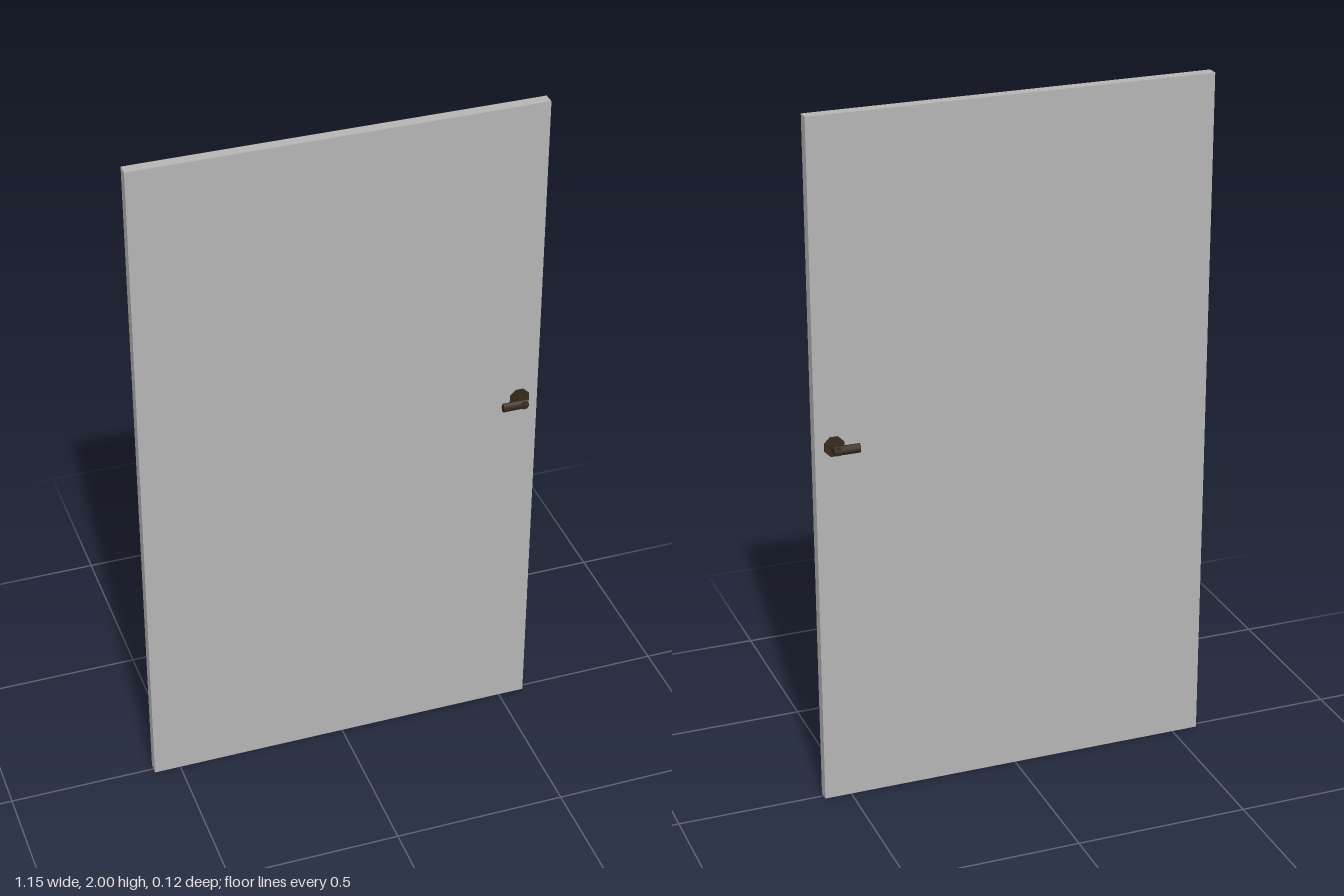
import * as THREE from 'three';

export function createModel() {
  const group = new THREE.Group();
  const panelGrey = new THREE.MeshStandardMaterial({ color: 0xb5b5b5 });
  panelGrey.name = 'panelGrey';
  const darkBronze = new THREE.MeshStandardMaterial({ color: 0x36291d });
  darkBronze.name = 'darkBronze';

  // Door slab
  const panel = new THREE.Mesh(new THREE.BoxGeometry(1.154, 2, 0.033), panelGrey);
  panel.name = 'doorPanel';
  panel.position.y = 1;
  group.add(panel);

  // Eight-sided bar along z with a flat side up
  const bar = (radius, length) => {
    const g = new THREE.CylinderGeometry(radius, radius, length, 8);
    g.rotateY(Math.PI / 8);
    return g.rotateX(Math.PI / 2);
  };

  // Lever handle on each face: round plate, stem and lever towards the hinge side
  for (const side of [1, -1]) {
    const handle = new THREE.Group();
    handle.name = side > 0 ? 'frontHandle' : 'backHandle';
    handle.position.set(0.523, 1.078, 0);

    const plate = new THREE.Mesh(bar(0.03, 0.007), darkBronze);
    plate.name = 'handlePlate';
    plate.position.z = side * 0.0185;

    const stem = new THREE.Mesh(bar(0.0125, 0.045), darkBronze);
    stem.name = 'handleStem';
    stem.position.z = side * 0.0375;

    // Lever is a flattened bar turned sideways
    const leverShape = bar(0.0135, 0.074).rotateY(Math.PI / 2).scale(1, 1, 0.7);
    const lever = new THREE.Mesh(leverShape, darkBronze);
    lever.name = 'handleLever';
    lever.position.set(-0.0255, 0, side * 0.0515);

    handle.add(plate, stem, lever);
    group.add(handle);
  }
  return group;
}
